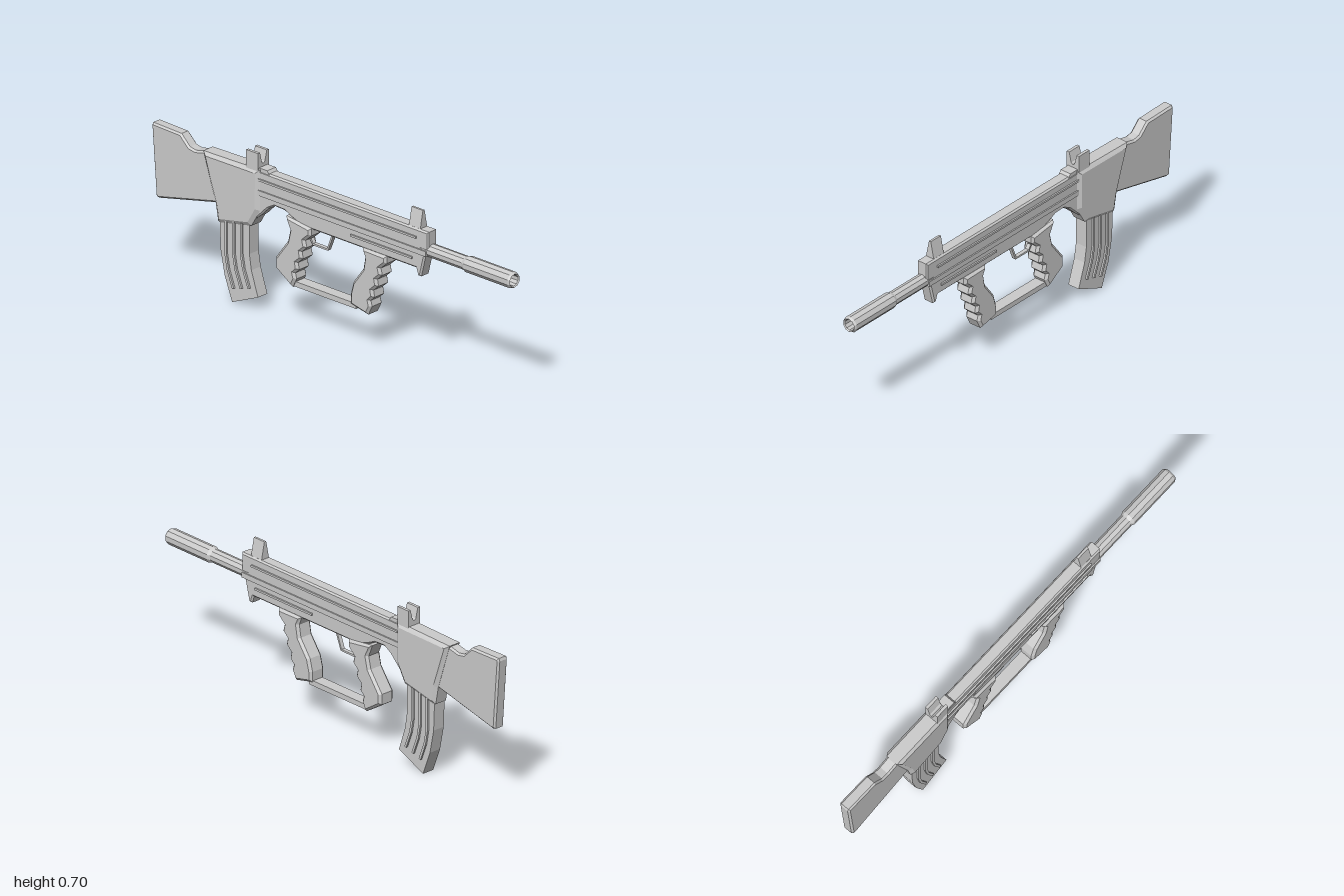
import * as THREE from 'three';

const grey = new THREE.MeshStandardMaterial({ color: 0xcccccc, flatShading: true, side: THREE.DoubleSide });

export function createModel() {
  const model = new THREE.Group();

  function add(name, geometry) {
    const mesh = new THREE.Mesh(geometry, grey);
    mesh.name = name;
    model.add(mesh);
    return mesh;
  }

  // Side outline of [z, y] points, extruded across x with chamfered edges
  function slab(name, points, half, bevel = 0, inset = bevel) {
    const shape = new THREE.Shape(points.map(([z, y]) => new THREE.Vector2(z, y)));
    const geometry = new THREE.ExtrudeGeometry(shape, {
      depth: 2 * (half - bevel), bevelEnabled: bevel > 0, bevelThickness: bevel,
      bevelSize: inset, bevelOffset: -inset, bevelSegments: 1,
    });
    geometry.translate(0, 0, -(half - bevel)).rotateY(-Math.PI / 2);
    return add(name, geometry);
  }

  // Front outline of [x, y] points, extruded from z0 to z1
  function plate(name, points, z0, z1) {
    const shape = new THREE.Shape(points.map(([x, y]) => new THREE.Vector2(x, y)));
    add(name, new THREE.ExtrudeGeometry(shape, { depth: z1 - z0, bevelEnabled: false }).translate(0, 0, z0));
  }

  function box(name, half, y0, y1, z0, z1) {
    add(name, new THREE.BoxGeometry(2 * half, y1 - y0, z1 - z0).translate(0, (y0 + y1) / 2, (z0 + z1) / 2));
  }

  // Constant-thickness strip following a [z, y] path
  function strip(name, path, thickness, half) {
    const t = thickness / 2;
    const left = [], right = [];
    path.forEach(([z, y], i) => {
      const a = path[Math.max(i - 1, 0)], b = path[Math.min(i + 1, path.length - 1)];
      const dz = b[0] - a[0], dy = b[1] - a[1], l = Math.hypot(dz, dy);
      left.push([z - dy / l * t, y + dz / l * t]);
      right.unshift([z + dy / l * t, y - dz / l * t]);
    });
    slab(name, [...left, ...right], half);
  }

  // Barrel with thicker muzzle and open bore
  const barrelProfile = [[0, 0.86], [0.024, 0.86], [0.025, 0.995], [0.03, 1], [0.036, 0.99],
    [0.036, 0.745], [0.03, 0.73], [0.03, 0.5]];
  const barrel = add('barrel', new THREE.LatheGeometry(barrelProfile.map(([r, z]) => new THREE.Vector2(r, z)), 10)
    .rotateX(Math.PI / 2));
  barrel.position.y = 0.54;

  // Receiver with side rails
  slab('receiver', [[0.543, 0.628], [0.543, 0.527], [0.527, 0.527], [0.5, 0.42], [0.484, 0.42], [0.473, 0.452],
    [-0.16, 0.452], [-0.22, 0.473], [-0.26, 0.492], [-0.313, 0.494], [-0.35, 0.473], [-0.393, 0.43],
    [-0.43, 0.4], [-0.43, 0.628]], 0.028, 0.007);
  box('upperRail', 0.035, 0.585, 0.594, -0.4, 0.48);
  box('middleRail', 0.034, 0.52, 0.543, -0.4, 0.535);
  box('lowerRail', 0.035, 0.489, 0.498, 0.115, 0.457);

  // Stock: wide housing, narrower butt
  slab('stockHousing', [[-0.393, 0.634], [-0.393, 0.452], [-0.44, 0.372], [-0.607, 0.338], [-0.625, 0.34],
    [-0.64, 0.42], [-0.708, 0.628]], 0.04, 0.012, 0.018);
  slab('butt', [[-0.6, 0.625], [-0.709, 0.623], [-0.757, 0.612], [-0.79, 0.618], [-0.837, 0.663], [-0.995, 0.667],
    [-1, 0.655], [-0.976, 0.345], [-0.96, 0.342], [-0.82, 0.374], [-0.64, 0.415], [-0.6, 0.43]], 0.027, 0.008);

  // Sights
  plate('frontSight', [[-0.022, 0.62], [0.022, 0.62], [0.005, 0.705], [-0.005, 0.705]], 0.43, 0.493);
  plate('rearSight', [[-0.033, 0.62], [0.033, 0.62], [0.033, 0.705], [0.02, 0.705], [0.009, 0.66], [0, 0.652],
    [-0.009, 0.66], [-0.02, 0.705], [-0.033, 0.705]], -0.465, -0.4);
  slab('sightRamp', [[-0.34, 0.62], [-0.355, 0.64], [-0.41, 0.64], [-0.41, 0.62]], 0.026);

  // Grips share the finger-notched front edge
  const fingers = [[0.315, 0.458], [0.315, 0.425], [0.281, 0.395], [0.289, 0.365], [0.262, 0.34], [0.268, 0.31],
    [0.24, 0.285], [0.246, 0.255], [0.225, 0.235], [0.232, 0.21], [0.211, 0.168]];
  slab('frontGrip', [...fingers, [0.115, 0.19], [0.115, 0.235], [0.13, 0.29], [0.185, 0.365], [0.195, 0.42],
    [0.18, 0.458]], 0.039, 0.011);
  slab('rearGrip', [...fingers.map(([z, y]) => [z - 0.42, y]), [-0.302, 0.228], [-0.302, 0.275], [-0.235, 0.365],
    [-0.222, 0.42], [-0.245, 0.475]], 0.039, 0.011);
  box('gripBar', 0.026, 0.172, 0.195, -0.21, 0.14);

  // Trigger loop
  strip('triggerLoop', [[-0.003, 0.46], [-0.035, 0.378], [-0.115, 0.378], [-0.13, 0.4]], 0.009, 0.009);

  // Curved magazine with raised ribs
  slab('magazine', [[-0.452, 0.39], [-0.452, 0.243], [-0.441, 0.174], [-0.404, 0.064], [-0.548, 0.002],
    [-0.59, 0.11], [-0.612, 0.217], [-0.618, 0.36]], 0.028);
  for (let i = 0; i < 3; i++) {
    const s = -0.043 * i, d = -0.013 * i;
    strip('magazineRib', [[-0.492 + s, 0.37], [-0.492 + s, 0.235 + d], [-0.48 + s, 0.17 + d],
      [-0.45 + s, 0.092 + d]], 0.011, 0.036);
  }

  return model;
}
